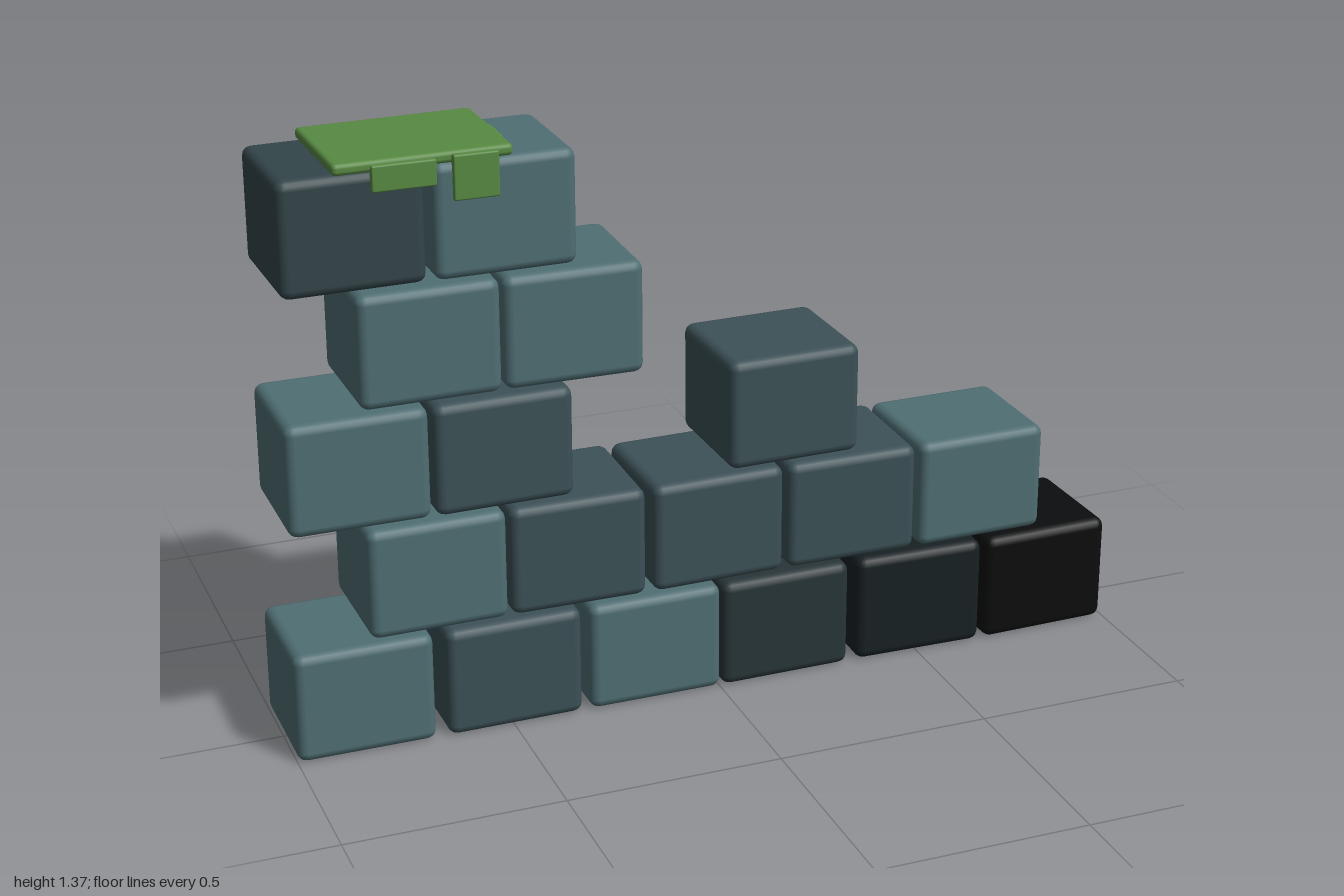
import * as THREE from 'three';
import { RoundedBoxGeometry } from 'three/addons/geometries/RoundedBoxGeometry.js';

const LIGHT = 0x4f6e73, DARK = 0x3c5157, SHADED = 0x33454a, DIM = 0x283539, DEEP = 0x182023, BLACK = 0x0c0d0e;
const BLOCK_W = 0.318, BLOCK_H = 0.26, BLOCK_D = 0.29;

// Each course from the ground up: [centre x, yaw, colour]
const COURSES = [
  [[-0.84, 0, LIGHT], [-0.495, 0.01, DARK], [-0.157, 0, LIGHT], [0.163, 0.01, DIM], [0.508, -0.02, DEEP], [0.833, 0.025, BLACK]],
  [[-0.665, 0.01, LIGHT], [-0.337, -0.01, DARK], [-0.005, 0.02, DARK], [0.328, -0.01, DARK], [0.655, 0.01, LIGHT]],
  [[-0.832, 0, LIGHT], [-0.507, 0.015, DARK], [0.178, 0.02, DARK]],
  [[-0.665, 0.01, LIGHT], [-0.338, -0.015, LIGHT]],
  [[-0.825, 0.02, SHADED], [-0.49, 0.01, LIGHT]],
];

function addBox(parent, name, size, position, radius, material) {
  const mesh = new THREE.Mesh(new RoundedBoxGeometry(...size, 2, radius), material);
  mesh.name = name;
  mesh.position.set(...position);
  parent.add(mesh);
  return mesh;
}

export function createModel() {
  const model = new THREE.Group();
  model.name = 'ruinedWall';

  // Stone courses, each block turned very slightly
  const stone = {};
  COURSES.forEach((blocks, row) => {
    const course = new THREE.Group();
    course.name = `stoneCourse${row + 1}`;
    course.position.y = 0.132 + row * 0.271;
    blocks.forEach(([x, yaw, color], i) => {
      stone[color] ??= new THREE.MeshStandardMaterial({ color });
      const block = addBox(course, `stoneBlock${i + 1}`, [BLOCK_W, BLOCK_H, BLOCK_D], [x, 0, -0.003], 0.022, stone[color]);
      block.rotation.y = yaw;
    });
    model.add(course);
  });

  // Moss sheet on the tall end, with flaps hanging over its edges
  const moss = new THREE.Group();
  moss.name = 'moss';
  const green = new THREE.MeshStandardMaterial({ color: 0x588a42 });
  const sheet = addBox(moss, 'mossSheet', [0.393, 0.026, 0.292], [-0.667, 1.357, -0.006], 0.01, green);
  sheet.rotation.y = 0.02;
  addBox(moss, 'mossFlapWide', [0.14, 0.058, 0.018], [-0.71, 1.332, 0.143], 0.004, green);
  addBox(moss, 'mossFlapLong', [0.1, 0.1, 0.018], [-0.555, 1.315, 0.146], 0.004, green);
  addBox(moss, 'mossFlapSide', [0.018, 0.024, 0.085], [-0.471, 1.35, 0], 0.004, green);
  model.add(moss);

  return model;
}
